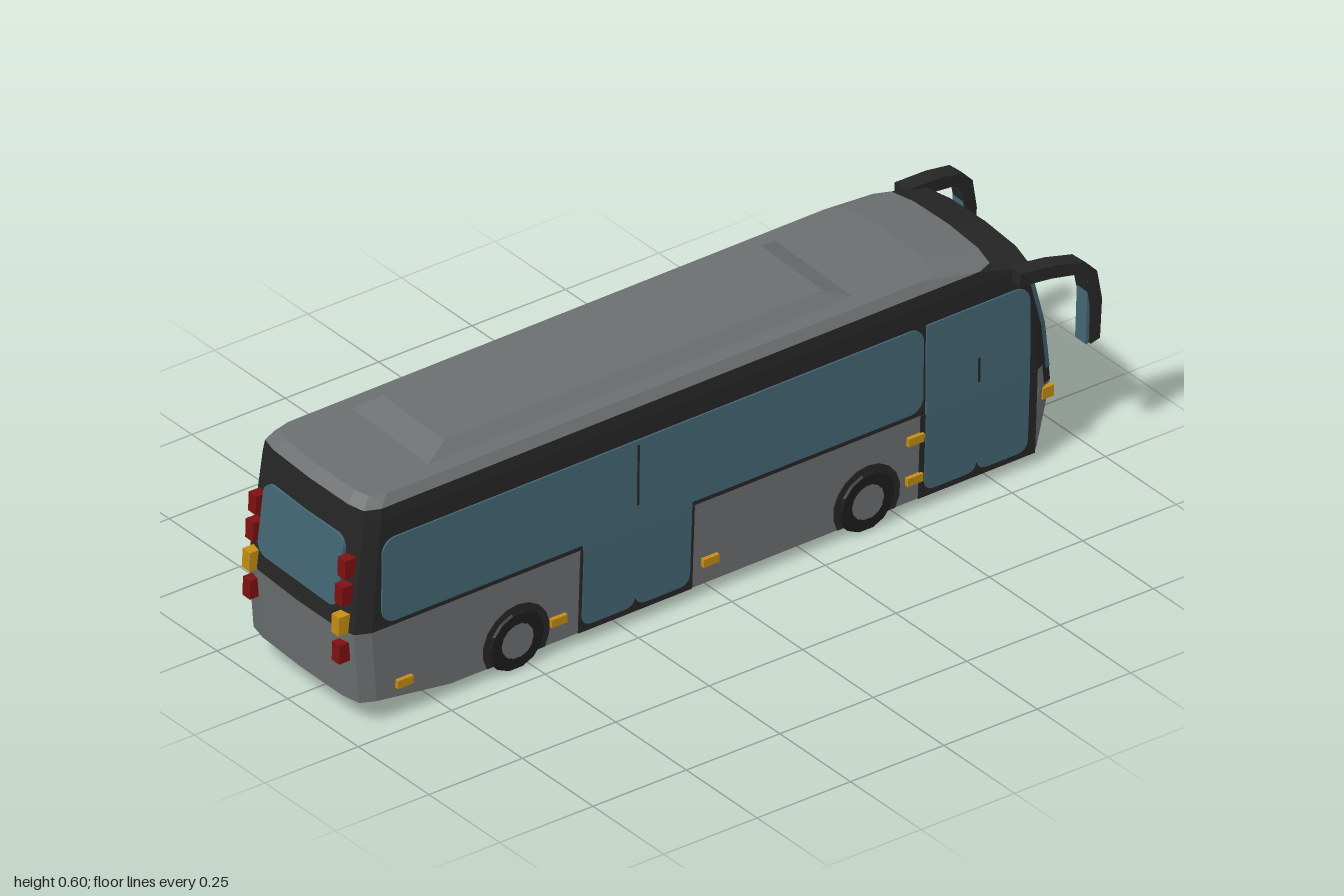
import * as THREE from 'three';

const paint = (name, color) => new THREE.MeshStandardMaterial({ name, color, side: THREE.DoubleSide });

// Piecewise linear lookup in a list of [key, value]
function lookup(table, k) {
  for (let i = 1; i < table.length; i++) {
    const [a, va] = table[i - 1], [b, vb] = table[i];
    if (k <= b) return va + (vb - va) * Math.max(0, (k - a) / (b - a));
  }
  return table[table.length - 1][1];
}

// Body rules: half width, windscreen end (-z) and tail end (+z) by height
const halfWidth = y => lookup([[0.04, 0.2], [0.25, 0.2], [0.52, 0.191], [0.55, 0.187], [0.572, 0.172]], y);
const noseZ = y => lookup([[0.04, -0.9], [0.19, -0.93], [0.35, -0.91], [0.52, -0.865], [0.55, -0.765], [0.572, -0.62]], y);
const tailZ = y => lookup([[0.04, 0.765], [0.07, 0.965], [0.25, 0.985], [0.55, 0.96], [0.572, 0.935]], y);
const noseRound = [[0, 0], [0.6, 0.006], [0.92, 0.022], [1, 0.06]];
const tailRound = [[0, 0], [0.7, 0.004], [0.92, 0.014], [1, 0.05]];
const nosePoint = (f, y, out = 0) => [f * halfWidth(y), y, noseZ(y) + lookup(noseRound, Math.abs(f)) - out];
const tailPoint = (f, y) => [f * halfWidth(y), y, tailZ(y) - lookup(tailRound, Math.abs(f))];

function ring(y) {
  return [
    ...[-1, -0.92, -0.6, 0, 0.6, 0.92, 1].map(f => nosePoint(f, y)),
    ...[1, 0.92, 0.7, 0, -0.7, -0.92, -1].map(f => tailPoint(f, y)),
  ];
}

// Flat faced skin through rows of points
function skin(rows, closed, capCentre) {
  const p = [], n = rows[0].length;
  for (let r = 0; r + 1 < rows.length; r++) {
    const lo = rows[r], up = rows[r + 1];
    for (let i = 0; i < (closed ? n : n - 1); i++) {
      const j = (i + 1) % n;
      p.push(...lo[i], ...up[i], ...up[j], ...lo[i], ...up[j], ...lo[j]);
    }
  }
  if (capCentre) {
    const top = rows[rows.length - 1];
    for (let i = 0; i < n; i++) p.push(...capCentre, ...top[(i + 1) % n], ...top[i]);
  }
  const g = new THREE.BufferGeometry();
  g.setAttribute('position', new THREE.Float32BufferAttribute(p, 3));
  g.computeVertexNormals();
  return g;
}

function roundedRect(x0, x1, y0, y1, r) {
  const s = new THREE.Shape();
  s.moveTo(x0 + r, y0).lineTo(x1 - r, y0);
  if (r) s.absarc(x1 - r, y0 + r, r, -Math.PI / 2, 0);
  s.lineTo(x1, y1 - r);
  if (r) s.absarc(x1 - r, y1 - r, r, 0, Math.PI / 2);
  s.lineTo(x0 + r, y1);
  if (r) s.absarc(x0 + r, y1 - r, r, Math.PI / 2, Math.PI);
  s.lineTo(x0, y0 + r);
  if (r) s.absarc(x0 + r, y0 + r, r, Math.PI, Math.PI * 1.5);
  return s;
}

// Extrude a shape, then move each vertex by a rule
function extrudeBy(shape, depth, rule) {
  const g = new THREE.ExtrudeGeometry(shape, { depth, bevelEnabled: false, curveSegments: 6 });
  const a = g.attributes.position;
  for (let i = 0; i < a.count; i++) a.setXYZ(i, ...rule(a.getX(i), a.getY(i), a.getZ(i) - depth / 2));
  g.computeVertexNormals();
  return g;
}

export function createModel() {
  const bus = new THREE.Group();
  bus.name = 'bus';
  const grey = paint('bodyGrey', 0x6c6f70), black = paint('trimBlack', 0x262626);
  const glass = paint('tintedGlass', 0x446674), tyreMat = paint('tyreBlack', 0x1c1c1c);
  const red = paint('lampRed', 0x7e1010), amber = paint('lampAmber', 0xc48c14);

  const add = (name, geometry, material) => {
    const m = new THREE.Mesh(geometry, material);
    m.name = name;
    bus.add(m);
    return m;
  };
  const box = (name, mat, w, h, d, x, y, z) => add(name, new THREE.BoxGeometry(w, h, d), mat).position.set(x, y, z);

  // Plate lying in a side wall, side = +1 or -1
  const onSide = (name, mat, side, shape, t) =>
    add(name, extrudeBy(shape, t, (u, y, d) => [side * (halfWidth(y) + d), y, -side * u]), mat);
  const sidePlate = (name, mat, side, z0, z1, y0, y1, r = 0, t = 0.008) => {
    const u = [-side * z0, -side * z1].sort((a, b) => a - b);
    onSide(name, mat, side, roundedRect(u[0], u[1], y0, y1, r), t);
  };
  const nosePatch = (name, mat, fs, ys, out) =>
    add(name, skin(ys.map(y => fs.map(f => nosePoint(f, y, out))), false), mat);

  // Shell, open underneath
  add('lowerBody', skin([0.04, 0.07, 0.19, 0.25].map(ring), true), grey);
  add('windowBand', skin([0.25, 0.35, 0.52, 0.55].map(ring), true), black);
  add('roof', skin([0.55, 0.572].map(ring), true, [0, 0.574, 0.15]), grey);

  // Roof pod with sloping sides
  const pod = new THREE.BoxGeometry(2, 0.028, 2).toNonIndexed();
  const pp = pod.attributes.position;
  for (let i = 0; i < pp.count; i++) {
    const top = pp.getY(i) > 0;
    pp.setXYZ(i, pp.getX(i) * (top ? 0.108 : 0.137), top ? 0.597 : 0.569, 0.17 + pp.getZ(i) * (top ? 0.51 : 0.58));
  }
  pod.computeVertexNormals();
  add('roofPod', pod, grey);

  // Windscreen end
  nosePatch('windscreen', glass, [-0.95, -0.92, -0.6, 0, 0.6, 0.92, 0.95], [0.235, 0.35, 0.505], 0.004);
  nosePatch('noseBlackBand', black, [-0.97, -0.92, -0.6, 0, 0.6, 0.92, 0.97], [0.2, 0.25], 0.002);
  nosePatch('noseBlackPanel', black, [-0.5, 0, 0.5], [0.13, 0.19, 0.21], 0.003);
  for (const s of [-1, 1]) {
    const span = [0.35, 0.6, 0.75].map(f => s * f).sort((a, b) => a - b);
    nosePatch('fogLampRecess', black, span, [0.045, 0.085], 0.003);
    box('cornerLamp', amber, 0.03, 0.028, 0.03, s * 0.185, 0.18, -0.893);
  }

  // Side glazing
  sidePlate('leftWindow', glass, 1, 0.91, -0.55, 0.263, 0.472, 0.035);
  sidePlate('rightWindow', glass, -1, 0.91, -0.84, 0.263, 0.472, 0.045);

  // Doors on the +x side
  sidePlate('frontDoorSurround', black, 1, -0.545, -0.86, 0.04, 0.25, 0, 0.005);
  sidePlate('middleDoorSurround', black, 1, 0.372, 0.065, 0.04, 0.25, 0, 0.005);
  for (const [z0, z1] of [[0.365, 0.22], [0.22, 0.073], [-0.558, -0.7], [-0.7, -0.838]]) {
    const u0 = -z0, u1 = -z1, leaf = new THREE.Shape();
    leaf.moveTo(u0, 0.25).lineTo(u0, 0.085).quadraticCurveTo(u0, 0.055, u0 + 0.03, 0.055);
    leaf.lineTo(u1 - 0.03, 0.055).quadraticCurveTo(u1, 0.055, u1, 0.085).lineTo(u1, 0.25);
    onSide('doorLeaf', glass, 1, leaf, 0.008);
  }
  sidePlate('middleDoorGlass', glass, 1, 0.365, 0.073, 0.25, 0.3);
  const pane = new THREE.Shape();
  pane.moveTo(0.558, 0.25).lineTo(0.838, 0.25).lineTo(0.838, 0.43);
  pane.quadraticCurveTo(0.835, 0.472, 0.795, 0.472).lineTo(0.558, 0.472);
  onSide('frontDoorGlass', glass, 1, pane, 0.008);
  sidePlate('middleDoorSeal', black, 1, 0.223, 0.217, 0.31, 0.46, 0, 0.0095);
  sidePlate('frontDoorSeal', black, 1, -0.697, -0.703, 0.28, 0.34, 0, 0.0095);

  // Wheels, hollow towards the middle, with black arches
  const profile = [[0.076, -0.075], [0.076, -0.008], [0.07, 0], [0.044, 0], [0.04, -0.006]];
  const tyre = new THREE.LatheGeometry(profile.map(q => new THREE.Vector2(...q)), 14).toNonIndexed();
  tyre.computeVertexNormals();
  for (const side of [-1, 1]) for (const z of [0.54, -0.405]) {
    const wheel = new THREE.Group();
    wheel.name = 'wheel';
    const rubber = new THREE.Mesh(tyre, tyreMat);
    rubber.name = 'tyre';
    const hub = new THREE.Mesh(new THREE.CylinderGeometry(0.043, 0.043, 0.006, 14), grey);
    hub.name = 'hub';
    hub.position.y = -0.004;
    wheel.add(rubber, hub);
    wheel.position.set(side * 0.207, 0.086, z);
    wheel.rotation.z = -side * Math.PI / 2;
    bus.add(wheel);

    const arch = new THREE.Shape();
    arch.absarc(-side * z, 0.086, 0.09, -0.53, Math.PI + 0.53);
    onSide('wheelArch', black, side, arch, 0.004);
  }

  // Side marker lamps
  const marker = (side, z, y = 0.097) => box('markerLamp', amber, 0.02, 0.02, 0.042, side * 0.2, y, z);
  for (const z of [0.845, 0.43, 0.02, -0.53]) [-1, 1].forEach(s => marker(s, z));
  marker(1, -0.53, 0.198);

  // Tail end: window and lamp columns
  add('rearWindow', extrudeBy(roundedRect(-0.14, 0.14, 0.298, 0.473, 0.03), 0.008,
    (x, y, d) => [x, y, tailZ(y) + d]), glass);
  for (const s of [-1, 1]) for (const [y, mat] of [[0.412, red], [0.346, red], [0.272, amber], [0.2, red]])
    box('rearLamp', mat, 0.026, 0.047, 0.03, s * 0.156, y, tailZ(y) + 0.002);

  // Mirrors on drooping arms
  const arm = [[-0.79, 0.53], [-0.88, 0.522], [-0.95, 0.507], [-0.985, 0.475], [-1, 0.4], [-0.998, 0.3],
    [-0.975, 0.292], [-0.968, 0.4], [-0.955, 0.46], [-0.93, 0.482], [-0.87, 0.492], [-0.79, 0.497]];
  for (const side of [-1, 1]) {
    const shape = new THREE.Shape(arm.map(([z, y]) => new THREE.Vector2(-side * z, y)));
    add('mirrorArm', extrudeBy(shape, 0.04, (u, y, d) => {
      const z = -side * u;
      return [side * (0.2 + (-0.79 - z) * 0.09 + d), y, z];
    }), black);
    box('mirrorGlass', glass, 0.037, 0.18, 0.008, side * 0.217, 0.385, -0.966);
  }

  // Slight lean and turn of the whole vehicle
  bus.rotation.set(0, 0.01, -0.045);
  bus.position.x = -0.012;
  const model = new THREE.Group();
  model.name = 'coach';
  model.add(bus);
  return model;
}
